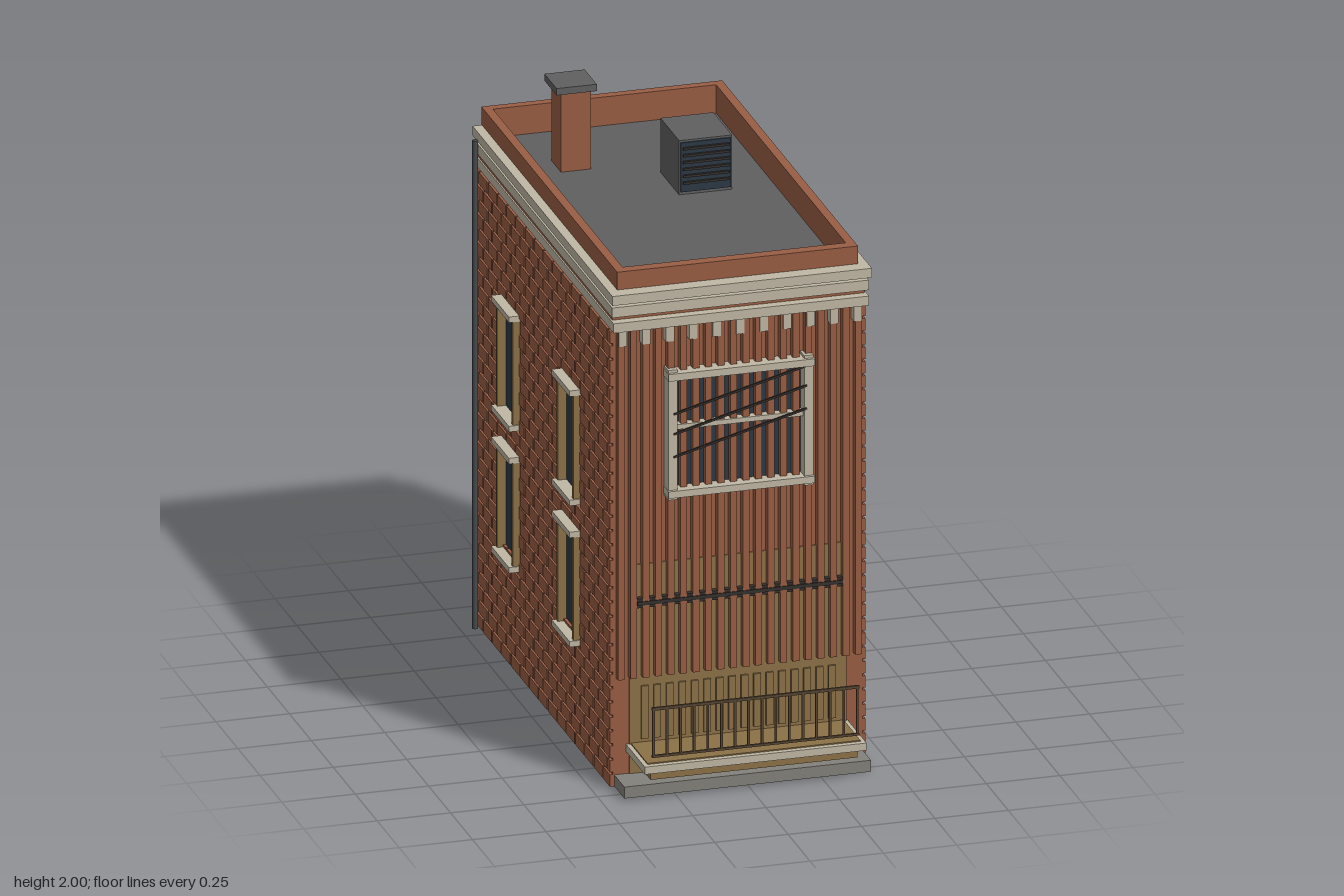
import * as THREE from 'three';
import { mergeGeometries } from 'three/addons/utils/BufferGeometryUtils.js';

const mat = (name, color) => Object.assign(new THREE.MeshStandardMaterial({ color }), { name });

export function createModel() {
  const M = {
    brick: mat('red brick', 0x995d44),
    mortar: mat('dark mortar', 0x4c3227),
    trim: mat('pale stone trim', 0xc0b8a4),
    wood: mat('tan wood', 0x8b7147),
    glass: mat('blue glass', 0x2c3945),
    roof: mat('roof felt', 0x606060),
    base: mat('grey stone', 0x83817a),
    metal: mat('dark metal', 0x484c50),
    iron: mat('dark iron', 0x35302c),
    railing: mat('brown railing', 0x564533),
  };
  const root = new THREE.Group();
  root.name = 'townhouse';

  // Box given by its minimum and maximum on each axis
  const span = (x0, x1, y0, y1, z0, z1) =>
    new THREE.BoxGeometry(x1 - x0, y1 - y0, z1 - z0)
      .translate((x0 + x1) / 2, (y0 + y1) / 2, (z0 + z1) / 2);
  const add = (name, material, ...geos) => {
    const mesh = new THREE.Mesh(geos.length > 1 ? mergeGeometries(geos) : geos[0], material);
    mesh.name = name;
    root.add(mesh);
  };
  // Span on the side wall, given by distance out from the centre
  const sideSpan = (s, a, b, y0, y1, z0, z1) =>
    span(Math.min(s * a, s * b), Math.max(s * a, s * b), y0, y1, z0, z1);

  // Running-bond courses, cut around rectangular openings [u0, u1, y0, y1]
  function courses(u0, u1, top, openings, make) {
    const geos = [], rows = Math.round(top / 0.05), pitch = top / rows, len = 0.105, gap = 0.0085;
    for (let r = 0; r < rows; r++) {
      const y0 = r * pitch, y1 = y0 + pitch - gap, mid = (y0 + y1) / 2;
      for (let u = u0 - (r % 2) * len / 2; u < u1; u += len) {
        let a = Math.max(u, u0), b = Math.min(u + len - gap, u1);
        for (const o of openings) {
          if (mid < o[2] || mid > o[3] || b <= o[0] || a >= o[1]) continue;
          if (a < o[0]) b = o[0];
          else if (b > o[1]) a = o[1];
          else b = a;
        }
        if (b - a > 0.008) geos.push(make(a, b, y0, y1));
      }
    }
    return geos;
  }

  // Wall core and underside
  add('wallCore', M.mortar, span(-0.42, 0.42, 0.002, 1.69, -0.87, 0.668));
  add('foundation', M.base, span(-0.415, 0.415, 0, 0.002, -0.865, 0.66));
  add('frontStep', M.base, span(-0.42, 0.42, 0, 0.04, 0.66, 0.79));

  // Side walls with their windows, plain jambs and pipes
  const levels = [[0.375, 0.76], [0.87, 1.255]];
  const sideWindows = [0.23, -0.46].flatMap(z => levels.map(([a, b]) => [z - 0.098, z + 0.098, a, b]));
  for (const s of [1, -1]) {
    const side = s > 0 ? 'left' : 'right';
    add(side + 'Bricks', M.brick, ...courses(-0.872, 0.675, 1.602, sideWindows,
      (a, b, y0, y1) => sideSpan(s, 0.415, 0.435, y0, y1, a, b)));
    for (const [z0, z1, y0, y1] of sideWindows) {
      add(side + 'WindowJambs', M.brick,
        sideSpan(s, 0.418, 0.431, y0, y1, z0 - 0.05, z0),
        sideSpan(s, 0.418, 0.431, y0, y1, z1, z1 + 0.05));
      add(side + 'WindowGlass', M.glass, sideSpan(s, 0.418, 0.425, y0, y1, z0, z1));
      add(side + 'WindowFrame', M.wood,
        sideSpan(s, 0.418, 0.455, y0, y1, z0, z0 + 0.017),
        sideSpan(s, 0.418, 0.455, y0, y1, z1 - 0.017, z1));
      add(side + 'WindowSillAndLintel', M.trim,
        sideSpan(s, 0.418, 0.47, y0 - 0.011, y0 + 0.009, z0 - 0.004, z1 + 0.004),
        sideSpan(s, 0.418, 0.47, y1 - 0.013, y1 + 0.007, z0 - 0.004, z1 + 0.004));
    }
    add(side + 'Drainpipe', M.metal,
      new THREE.CylinderGeometry(0.01, 0.01, 1.71, 16).translate(s * 0.45, 0.855, -0.81));
  }

  // Back wall with two plain windows in thin brick frames
  const backWindows = levels.map(([a, b]) => [-0.135, 0.135, a, b]);
  add('backBricks', M.brick, ...courses(-0.425, 0.425, 1.7, backWindows,
    (a, b, y0, y1) => span(a, b, y0, y1, -0.888, -0.865)));
  for (const [a, b, y0, y1] of backWindows) {
    add('backWindowFrame', M.brick, span(a - 0.012, b + 0.012, y0 - 0.012, y1 + 0.012, -0.876, -0.868));
    add('backWindowGlass', M.glass, span(a, b, y0, y1, -0.88, -0.875));
  }

  // Front wall, shopfront panel with planks, and vertical slats
  add('frontWall', M.brick, span(-0.425, 0.425, 0.04, 1.6, 0.66, 0.675));
  add('shopfrontPanel', M.wood, span(-0.37, 0.37, 0.04, 0.77, 0.674, 0.68));
  const slats = [], planks = [];
  for (let i = 0; i < 20; i++) {
    const x = -0.404 + i * 0.0425;
    slats.push(span(x - 0.011, x + 0.011, 0.38, 1.6, 0.67, 0.703));
    if (Math.abs(x) < 0.36) planks.push(span(x - 0.012, x + 0.012, 0.16, 0.345, 0.678, 0.688));
  }
  add('frontSlats', M.brick, ...slats);
  add('shopfrontPlanks', M.wood, ...planks);
  add('shopfrontRail', M.iron,
    span(-0.35, 0.35, 0.625, 0.657, 0.676, 0.701),
    span(-0.35, 0.35, 0.635, 0.648, 0.7, 0.706));

  // Front window with crossing rods
  add('frontWindowGlass', M.glass, span(-0.23, 0.23, 1.02, 1.43, 0.674, 0.68));
  add('frontWindowFrame', M.trim,
    span(-0.25, -0.218, 1, 1.455, 0.675, 0.722),
    span(0.213, 0.245, 1, 1.455, 0.675, 0.722),
    span(-0.252, 0.247, 1.42, 1.445, 0.675, 0.733),
    span(-0.252, 0.247, 1.01, 1.034, 0.675, 0.733),
    span(-0.23, 0.23, 1.24, 1.257, 0.675, 0.71));
  add('windowRods', M.iron, ...[1.15, 1.23, 1.3].map(y =>
    new THREE.BoxGeometry(0.47, 0.007, 0.007).rotateZ(Math.atan2(0.12, 0.45)).translate(-0.005, y + 0.06, 0.722)));

  // Cornice: frieze, three ledges around front and sides, and a row of brackets
  add('frieze', M.brick, span(-0.43, 0.43, 1.6, 1.692, -0.872, 0.685));
  for (const [y0, y1, x, z] of [[1.605, 1.638, 0.435, 0.718], [1.655, 1.69, 0.437, 0.708], [1.705, 1.738, 0.442, 0.727]])
    add('corniceLedge', M.trim,
      span(-x, x, y0, y1, 0.65, z),
      span(-x, -0.395, y0, y1, -0.866, 0.65),
      span(0.395, x, y0, y1, -0.866, 0.65));
  const brackets = [];
  for (let i = 0; i < 11; i++) {
    const x = -0.4 + i * 0.08;
    brackets.push(span(x - 0.014, x + 0.014, 1.55, 1.607, 0.675, 0.707));
  }
  add('corniceBrackets', M.trim, ...brackets);

  // Parapet and sunken flat roof
  add('parapet', M.brick,
    span(-0.41, -0.38, 1.69, 1.8, -0.872, 0.675),
    span(0.38, 0.41, 1.69, 1.8, -0.872, 0.675),
    span(-0.38, 0.38, 1.69, 1.8, -0.872, -0.84),
    span(-0.38, 0.38, 1.69, 1.8, 0.635, 0.675));
  add('roofDeck', M.roof, span(-0.38, 0.38, 1.69, 1.7, -0.84, 0.635));

  // Chimney
  add('chimney', M.brick, span(-0.256, -0.154, 1.695, 1.976, -0.59, -0.48));
  add('chimneyCap', M.roof, span(-0.275, -0.138, 1.976, 2, -0.605, -0.467));

  // Roof ventilation unit with louvres
  add('ventUnit', M.roof, span(0.055, 0.235, 1.695, 1.89, -0.387, -0.175));
  add('ventGrille', M.glass, span(0.06, 0.23, 1.71, 1.883, -0.176, -0.17));
  add('ventLouvres', M.iron, ...[0, 1, 2, 3, 4, 5].map(i =>
    span(0.066, 0.224, 1.739 + i * 0.024, 1.747 + i * 0.024, -0.176, -0.161)));

  // Balcony slab, floor and railing
  add('balconySlab', M.trim, span(-0.38, 0.375, 0.117, 0.143, 0.67, 0.89));
  add('balconyFloor', M.wood, span(-0.365, 0.36, 0.142, 0.147, 0.67, 0.87));
  add('balconySupport', M.wood, span(-0.355, 0.35, 0.088, 0.117, 0.67, 0.87));
  const bars = [span(-0.355, 0.35, 0.337, 0.347, 0.882, 0.89), span(-0.355, 0.35, 0.172, 0.18, 0.882, 0.89)];
  for (let i = 0; i < 16; i++) {
    const x = -0.35 + i * 0.0463;
    bars.push(span(x - 0.004, x + 0.004, 0.175, 0.34, 0.883, 0.889));
  }
  add('balconyRailing', M.railing, ...bars);
  return root;
}
